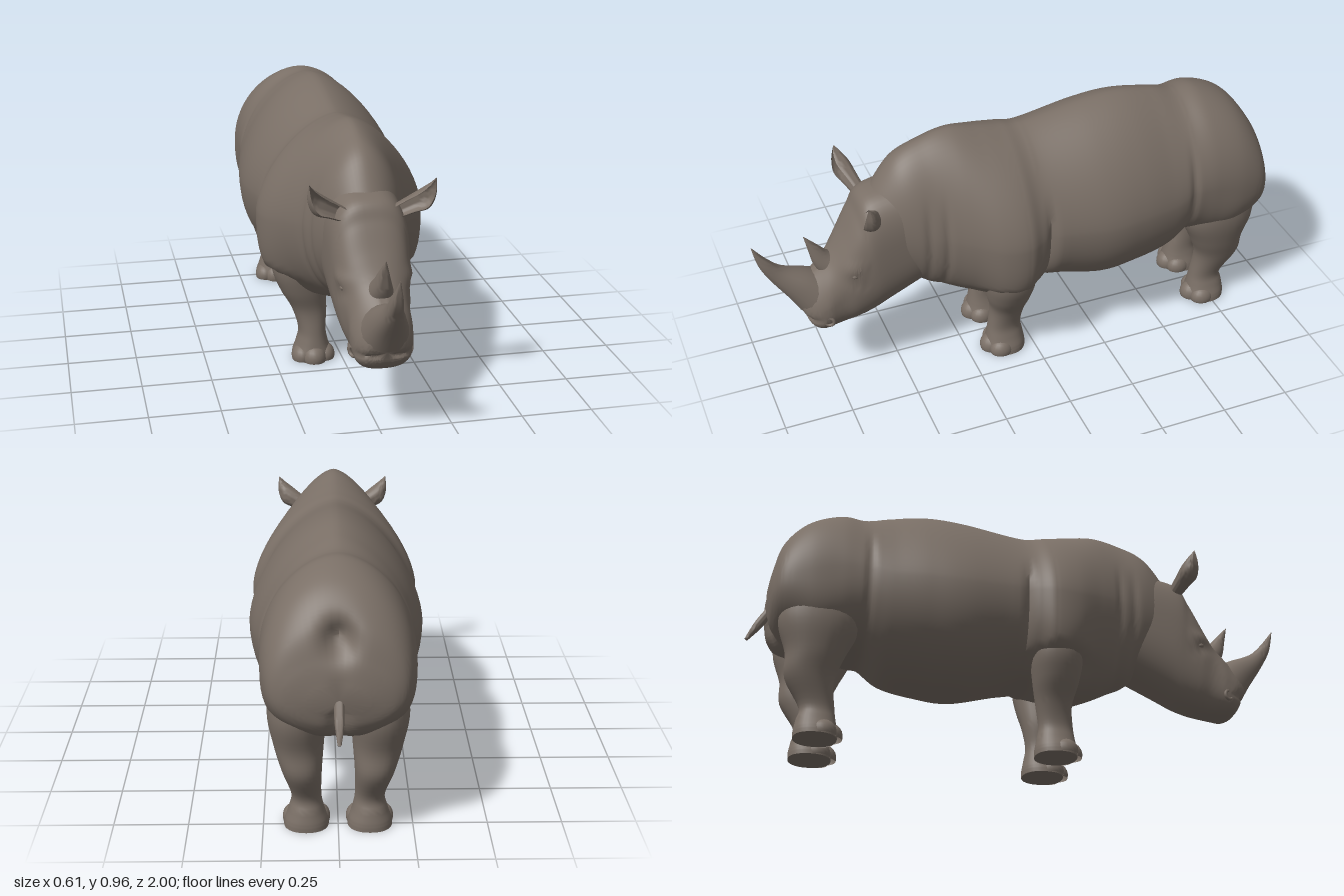
import * as THREE from 'three';
import { toCreasedNormals } from 'three/addons/utils/BufferGeometryUtils.js';

const { smoothstep } = THREE.MathUtils;
const hide = new THREE.MeshStandardMaterial({ color: 0x7a6f66, side: THREE.DoubleSide });
hide.name = 'hide';

const bell = (v, c, w) => Math.exp(-(((v - c) / w) ** 2));
const spow = (v, e) => Math.sign(v) * Math.abs(v) ** (2 / e);

// Smooth interpolation through rows of numbers
function resample(rows, steps) {
  const out = [];
  for (let i = 0; i < rows.length - 1; i++) {
    const a = rows[Math.max(i - 1, 0)], b = rows[i], c = rows[i + 1], d = rows[Math.min(i + 2, rows.length - 1)];
    for (let s = 0; s < steps; s++) {
      const t = s / steps;
      out.push(b.map((_, k) => b[k] + 0.5 * t * (c[k] - a[k] + t * (2 * a[k] - 5 * b[k] + 4 * c[k] - d[k]
        + t * (3 * (b[k] - c[k]) + d[k] - a[k])))));
    }
  }
  out.push(rows[rows.length - 1]);
  return out;
}

// Skin over rings. Row: [upper y, upper z, lower y, lower z, half width, centre x]
function loft(rows, { steps = 5, seg = 32, mid = 0.5, upper = () => 2.2, lower = () => 2.2, warp = null, open = 0 } = {}) {
  const rings = resample(rows, steps), pos = [], idx = [];
  const cols = open ? seg + 1 : seg;
  rings.forEach(([yT, zT, yB, zB, hw, cx = 0]) => {
    for (let j = 0; j < cols; j++) {
      const a = open ? Math.PI / 2 + open + (j / seg) * 2 * (Math.PI - open) : (j / seg) * Math.PI * 2;
      const c = Math.cos(a), s = Math.sin(a), e = s >= 0 ? upper(zT) : lower(zT);
      const h = spow(s, e), f = mid + h * (h >= 0 ? 1 - mid : mid);
      const p = new THREE.Vector3(cx + hw * spow(c, e), yB + (yT - yB) * f, zB + (zT - zB) * f);
      if (warp) warp(p);
      pos.push(p.x, p.y, p.z);
    }
  });
  for (let i = 0; i < rings.length - 1; i++) {
    for (let j = 0; j < seg; j++) {
      const k = (j + 1) % cols, a = i * cols, b = a + cols;
      idx.push(a + j, a + k, b + j, a + k, b + k, b + j);
    }
  }
  if (!open) {
    [0, rings.length - 1].forEach((i, end) => {
      const [yT, zT, yB, zB, , cx = 0] = rings[i], m = pos.length / 3;
      pos.push(cx, yB + (yT - yB) * mid, zB + (zT - zB) * mid);
      for (let j = 0; j < seg; j++) {
        const a = i * cols + j, b = i * cols + (j + 1) % cols;
        idx.push(...(end ? [m, a, b] : [m, b, a]));
      }
    });
  }
  const geo = new THREE.BufferGeometry();
  geo.setAttribute('position', new THREE.Float32BufferAttribute(pos, 3));
  geo.setIndex(idx);
  return toCreasedNormals(geo, 1.0);
}

// Tapered curved spike in the middle plane, from points [y, z, radius]
function spike(points) {
  const curve = new THREE.CatmullRomCurve3(points.map(([y, z]) => new THREE.Vector3(0, y, z)));
  return loft(points.map(([y, z, r], i) => {
    const t = curve.getTangent(i / (points.length - 1));
    return [y + r * t.z, z - r * t.y, y - r * t.z, z + r * t.y, r];
  }), { seg: 20, steps: 6 });
}

// Skin folds, overhanging shoulder and the hollow under the tail root
function folds(p) {
  const low = 1 - smoothstep(p.y, 0.55, 0.75);
  const shoulder = 0.08 * bell(p.z, -0.02, 0.014) * low;
  const rump = 0.04 * bell(p.z, -0.59, 0.014) * (1 - smoothstep(p.y, 0.65, 0.84));
  const neck = 0.04 * (bell(p.z, 0.4, 0.014) + bell(p.z, 0.34, 0.012)) * (1 - smoothstep(p.y, 0.65, 0.8));
  const under = 0.22 * (1 - smoothstep(p.y, 0.34, 0.38)) * bell(p.z, 0.12, 0.11);
  p.x *= 1 - shoulder - rump - neck - under;
  if (p.z < -0.8) p.z += 0.06 * bell(p.x, 0, 0.045) * bell(p.y, 0.72, 0.055) + 0.025 * bell(p.x, 0, 0.03) * bell(p.y, 0.46, 0.1);
}

// Narrow snout, lip fold, and brows over the eye sockets
function face(p) {
  p.x *= 1 - 0.5 * smoothstep(p.z, 0.75, 0.88);
  p.x += Math.sign(p.x) * bell(p.z, 0.66, 0.04) * (0.008 * bell(p.y, 0.525, 0.02) - 0.008 * bell(p.y, 0.48, 0.02));
  if (p.z > 0.76) p.z -= 0.012 * bell(p.y, 0.315, 0.01) * smoothstep(p.z, 0.76, 0.8);
}

export function createModel() {
  const model = new THREE.Group();
  model.name = 'rhinoceros';
  const add = (name, geo) => {
    const mesh = new THREE.Mesh(geo, hide);
    mesh.name = name;
    model.add(mesh);
    return mesh;
  };

  // Trunk, from rump to neck: ridged along the back, boxier at shoulders and hips
  add('body', loft([
    [0.58, -0.94, 0.48, -0.935, 0.1],
    [0.66, -0.925, 0.43, -0.92, 0.185],
    [0.77, -0.892, 0.385, -0.88, 0.23],
    [0.865, -0.81, 0.35, -0.79, 0.252],
    [0.918, -0.69, 0.35, -0.69, 0.256],
    [0.917, -0.6, 0.35, -0.6, 0.258],
    [0.94, -0.51, 0.285, -0.51, 0.276],
    [0.96, -0.38, 0.257, -0.38, 0.296],
    [0.952, -0.24, 0.25, -0.24, 0.302],
    [0.915, -0.02, 0.3, -0.02, 0.275],
    [0.922, 0.07, 0.28, 0.07, 0.302],
    [0.938, 0.16, 0.265, 0.16, 0.288],
    [0.955, 0.27, 0.285, 0.25, 0.235],
    [0.935, 0.37, 0.32, 0.33, 0.188],
    [0.88, 0.48, 0.355, 0.4, 0.158],
    [0.74, 0.58, 0.43, 0.48, 0.115],
  ], {
    steps: 9, seg: 64, mid: 0.45, warp: folds,
    upper: z => 1.6 + 0.45 * smoothstep(Math.abs(z + 0.1), 0.38, 0.75),
    lower: z => 2.1 + 1.1 * bell(z, 0.1, 0.1) + 0.9 * bell(z, -0.75, 0.12),
  }));

  // Head, from neck to lips
  add('head', loft([
    [0.8, 0.42, 0.38, 0.4, 0.14],
    [0.77, 0.585, 0.315, 0.53, 0.137],
    [0.7, 0.635, 0.285, 0.59, 0.13],
    [0.61, 0.685, 0.265, 0.65, 0.12],
    [0.535, 0.735, 0.255, 0.7, 0.107],
    [0.48, 0.795, 0.25, 0.75, 0.108],
    [0.44, 0.845, 0.25, 0.785, 0.118],
    [0.405, 0.865, 0.265, 0.815, 0.105],
    [0.36, 0.858, 0.3, 0.836, 0.05],
  ], { steps: 8, seg: 56, warp: face, upper: z => 2.8 - 1 * smoothstep(z, 0.64, 0.8), lower: () => 2.6 }));

  // Horns, flaring into the snout
  add('frontHorn', spike([[0.395, 0.8, 0.082], [0.44, 0.848, 0.062], [0.5, 0.918, 0.034], [0.56, 0.963, 0.02], [0.635, 0.998, 0.001]]));
  add('rearHorn', spike([[0.49, 0.725, 0.05], [0.53, 0.76, 0.034], [0.58, 0.785, 0.018], [0.632, 0.812, 0.001]]));

  // Tail
  add('tail', spike([[0.55, -0.905, 0.016], [0.47, -0.957, 0.016], [0.405, -0.998, 0.006]]));

  // Upper leg and foot rows: [y, half width, half depth, centre z, centre x]
  const thighs = {
    FrontLeg: [[0.5, 0.08, 0.085, 0.1, 0.16], [0.37, 0.092, 0.094, 0.1, 0.16],
      [0.28, 0.083, 0.083, 0.1, 0.14], [0.2, 0.064, 0.065, 0.098, 0.115]],
    RearLeg: [[0.58, 0.085, 0.12, -0.755, 0.13], [0.43, 0.098, 0.145, -0.752, 0.136],
      [0.31, 0.083, 0.105, -0.76, 0.13], [0.22, 0.066, 0.086, -0.774, 0.12]],
  };
  const foot = [[0.12, 0.05, 0.062], [0.07, 0.058, 0.069], [0.03, 0.072, 0.076], [0.005, 0.075, 0.076]];
  const footX = 0.106;

  // Domes for toes and eyes
  const toe = new THREE.SphereGeometry(1, 20, 8, 0, Math.PI * 2, 0, Math.PI * 0.6);
  const ball = new THREE.SphereGeometry(1, 16, 12);

  for (const [side, s] of [['left', 1], ['right', -1]]) {
    // Curled ear shell with an upturned tip, from [height, radius, bend]
    const ear = add(side + 'Ear', loft([[0.145, 0.002, 0.045], [0.12, 0.022, 0.018], [0.08, 0.035, 0], [0.03, 0.03, 0], [-0.03, 0.024, 0]]
      .map(([y, r, bend]) => [y, r, y, -r, r, -s * bend]), { seg: 20, open: 0.85 }));
    ear.position.set(s * 0.112, 0.73, 0.59);
    ear.rotation.set(0, -s * 0.35, -s * 1.08);

    for (const [name, thigh] of Object.entries(thighs)) {
      const footZ = name === 'FrontLeg' ? 0.106 : -0.742;
      const rows = [...thigh, ...foot.map(r => [...r, footZ, footX])];
      add(side + name, loft(rows.map(([y, w, d, z, x]) => [y, z + d, y, z - d, w, s * x])));
      // Three toes around the front of each foot
      for (const k of [-1, 0, 1]) {
        const mesh = add(side + name + 'Toe', toe);
        mesh.position.set(s * footX + k * 0.042, 0.02, footZ + (k ? 0.025 : 0.05));
        mesh.scale.set(k ? 0.038 : 0.044, k ? 0.042 : 0.046, 0.046);
      }
    }

    // Eye, sunk under the brow
    const eye = add(side + 'Eye', ball);
    eye.position.set(s * 0.107, 0.495, 0.665);
    eye.scale.set(0.013, 0.011, 0.015);

    // Nostril rim
    const nostril = add(side + 'Nostril', new THREE.TorusGeometry(0.016, 0.006, 8, 20));
    nostril.position.set(s * 0.098, 0.31, 0.77);
    nostril.rotation.y = s * 1.15;
  }
  return model;
}
